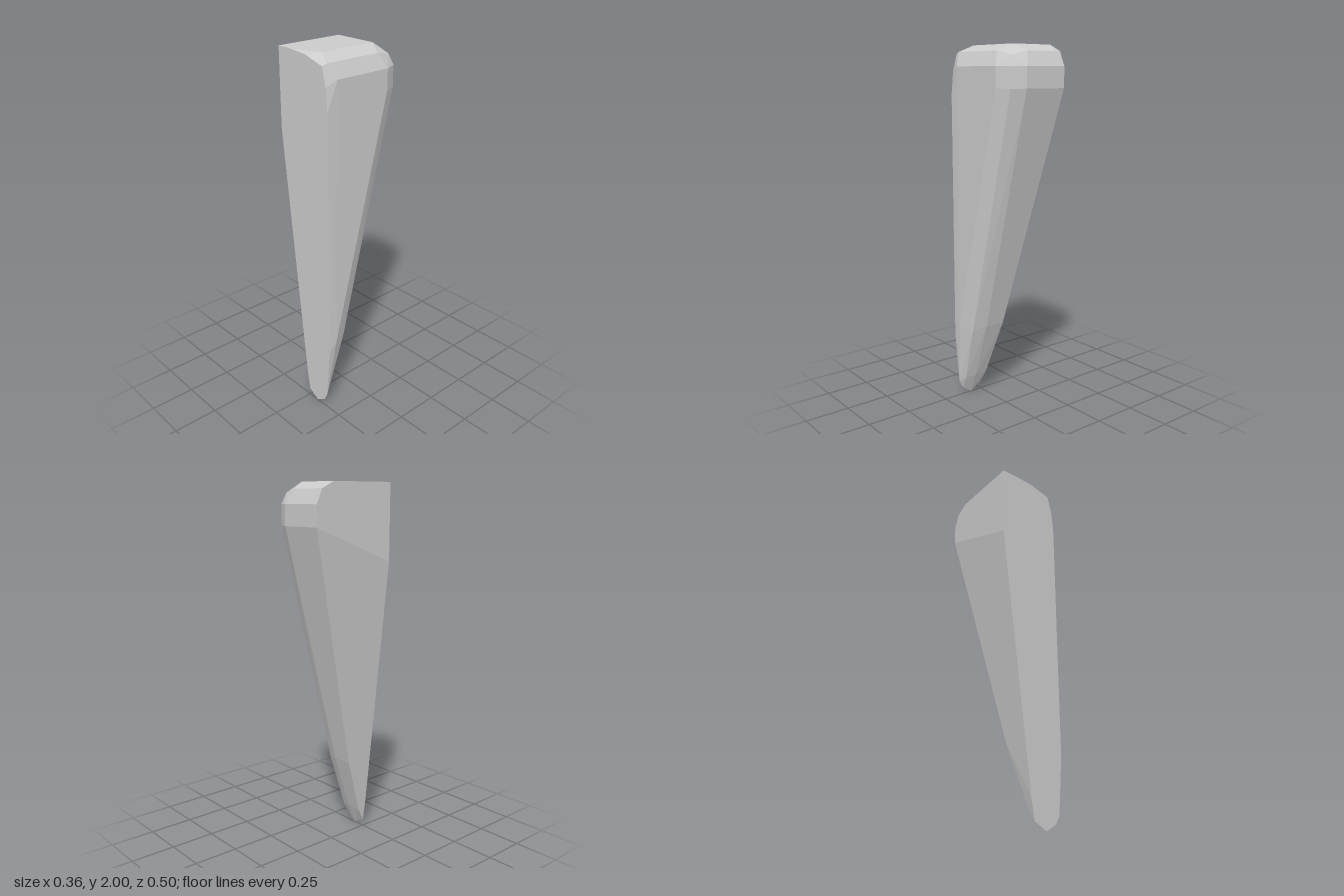
import * as THREE from 'three';
import { ConvexGeometry } from 'three/addons/geometries/ConvexGeometry.js';

export function createModel() {
  const group = new THREE.Group();
  group.name = 'taperedWedge';

  // Flat front outline, all at z = 0.25: [x, y]
  const front = [
    [-0.18, 2], [-0.1, 2], [0.02, 1.99], [0.14, 1.955], [0.165, 1.86], [0.176, 1.74],
    [0.176, 0.38], [0.152, 0.085], [0.13, 0.04], [0.07, 0], [0.0, 0.04], [-0.018, 0.15], [-0.18, 1.59],
  ].map(([x, y]) => [x, y, 0.25]);

  // Bevelled top and back corner
  const top = [
    [-0.18, 2, -0.14], [0.07, 2, -0.14], [0.07, 2, 0.19],
    [-0.18, 1.965, -0.215], [0.035, 1.965, -0.215], [0.125, 1.945, -0.198],
    [0.145, 1.965, -0.105], [0.145, 1.965, 0.225], [0.18, 1.89, 0.19],
  ];
  // Rounded back edge repeated at the two ends of the upright band
  for (const y of [1.89, 1.78]) {
    top.push([-0.18, y, -0.25], [0.07, y, -0.25], [0.145, y, -0.215], [0.18, y, -0.14]);
  }

  // Lower back ring, then the narrow tip
  const lower = [
    [-0.047, 0.45, 0.09], [0.07, 0.45, 0.09], [0.145, 0.43, 0.12], [0.18, 0.45, 0.2],
    [-0.008, 0.12, 0.205], [0.07, 0.12, 0.2], [0.13, 0.11, 0.215],
  ];

  const points = [...front, ...top, ...lower].map((p) => new THREE.Vector3(...p));
  const wedge = new THREE.Mesh(
    new ConvexGeometry(points),
    new THREE.MeshStandardMaterial({ color: 0xcccccc, flatShading: true })
  );
  wedge.name = 'wedgeBody';
  group.add(wedge);
  return group;
}
